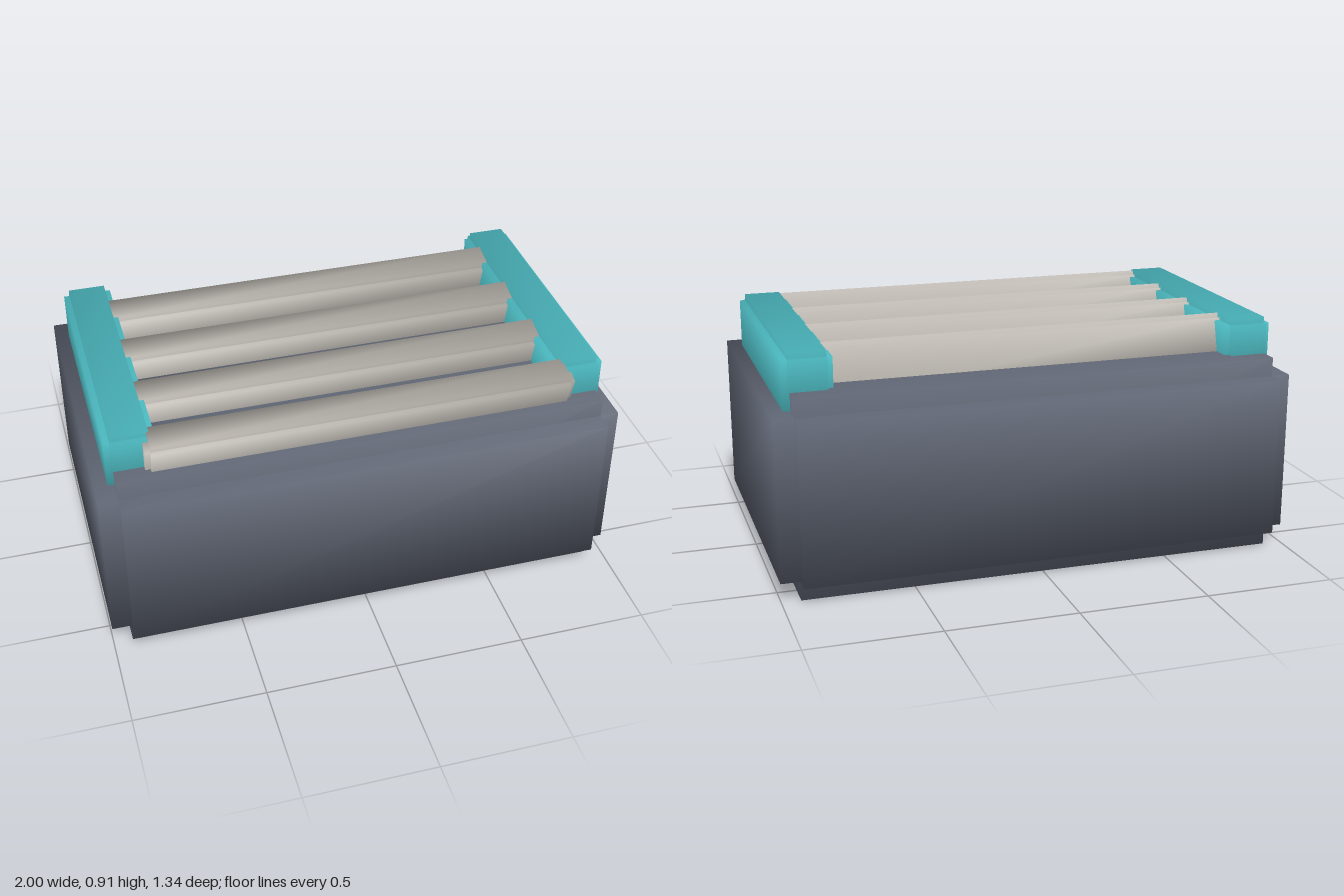
import * as THREE from 'three';
import { mergeGeometries, mergeVertices } from 'three/addons/utils/BufferGeometryUtils.js';

// Box whose corners share one soft normal
function softBox(w, h, d) {
  let g = new THREE.BoxGeometry(w, h, d);
  g.deleteAttribute('normal');
  g.deleteAttribute('uv');
  g = mergeVertices(g, 1e-4);
  g.computeVertexNormals();
  return g;
}

// Block with a square step cut along every edge: three crossing boxes,
// each reaching full size along one axis
function steppedBlock(w, h, d, sx, sy, sz) {
  const ix = w - 2 * sx, iy = h - 2 * sy, iz = d - 2 * sz;
  return mergeGeometries([
    softBox(w, iy, iz),
    softBox(ix, h, iz),
    softBox(ix, iy, d),
  ]);
}

export function createModel() {
  const group = new THREE.Group();
  const material = (name, color) => {
    const m = new THREE.MeshStandardMaterial({ color });
    m.name = name;
    return m;
  };
  const slate = material('slate grey', 0x5f6573);
  const cyan = material('cyan', 0x56d0d8);
  const pale = material('warm pale grey', 0xb9b4ad);

  const add = (name, geometry, mat, x, y, z) => {
    const mesh = new THREE.Mesh(geometry, mat);
    mesh.name = name;
    mesh.position.set(x, y, z);
    group.add(mesh);
    return mesh;
  };

  // Main body
  add('body', steppedBlock(2, 0.764, 1.336, 0.073, 0.073, 0.072), slate, 0, 0.382, 0);

  // Side rails sunk into the top of the body
  const rail = steppedBlock(0.185, 0.3, 1.05, 0.022, 0.025, 0.022);
  for (const side of [1, -1]) {
    add(side > 0 ? 'leftRail' : 'rightRail', rail, cyan, side * 0.8575, 0.755, 0);
  }

  // Four slats leaning forward between the rails
  const slat = steppedBlock(1.63, 0.24, 0.13, 0.02, 0.02, 0.016);
  for (let i = 0; i < 4; i++) {
    const mesh = add('slat' + (i + 1), slat, pale, 0, 0.776, 0.497 - i * 0.2885);
    mesh.rotation.x = 0.27;
  }

  return group;
}
